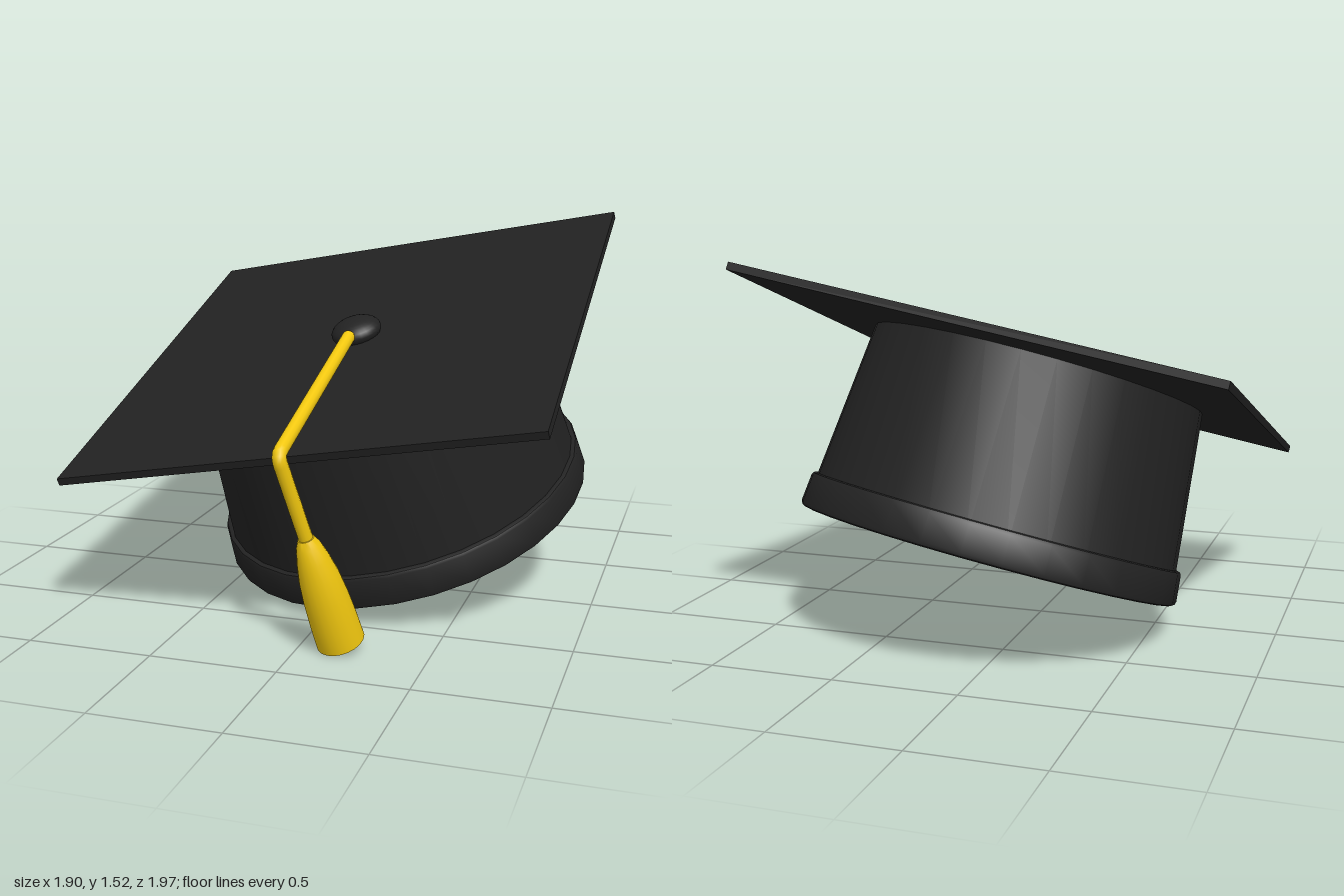
import * as THREE from 'three';
import { toCreasedNormals } from 'three/addons/utils/BufferGeometryUtils.js';

const black = new THREE.MeshStandardMaterial({ color: 0x222222, side: THREE.DoubleSide });
const gold = new THREE.MeshStandardMaterial({ color: 0xf2c80f, side: THREE.DoubleSide });

function add(parent, name, geometry, material, x = 0, y = 0, z = 0) {
  const mesh = new THREE.Mesh(geometry, material);
  mesh.name = name;
  mesh.position.set(x, y, z);
  parent.add(mesh);
  return mesh;
}

// Turned part from [radius, height] pairs, with sharp edges kept
function turned(profile, segments) {
  const points = profile.map(([r, y]) => new THREE.Vector2(r, y));
  return toCreasedNormals(new THREE.LatheGeometry(points, segments), 0.6);
}

export function createModel() {
  const model = new THREE.Group();
  model.name = 'graduationCap';

  // The cap is built level, its origin at the middle of the board's top, then tilted
  const cap = new THREE.Group();
  cap.name = 'tiltedCap';
  const xAxis = new THREE.Vector3(0.982, 0.18, 0.0445).normalize();
  const yAxis = new THREE.Vector3(0.01, -0.2975, 0.955).cross(xAxis).normalize();
  const zAxis = xAxis.clone().cross(yAxis);
  cap.quaternion.setFromRotationMatrix(new THREE.Matrix4().makeBasis(xAxis, yAxis, zAxis));
  cap.position.set(0, 1.067, -0.005);
  model.add(cap);

  // Square board and its button
  add(cap, 'board', new THREE.BoxGeometry(1.91, 0.03, 1.915), black, 0, -0.015, 0);
  add(cap, 'button', new THREE.SphereGeometry(0.105, 24, 16), black, 0, 0.02, 0).scale.y = 0.515;

  // Flared, hollow crown
  add(cap, 'crown', turned([
    [0.764, -0.74], [0.695, -0.03], [0.685, -0.03], [0.75, -0.74], [0.764, -0.74],
  ], 32), black);

  // Band around the opening, with softened edges
  add(cap, 'band', turned([
    [0.775, -0.81], [0.786, -0.805], [0.79, -0.792], [0.78, -0.685], [0.774, -0.674], [0.762, -0.67],
    [0.745, -0.67], [0.752, -0.79], [0.757, -0.805], [0.766, -0.81], [0.775, -0.81],
  ], 32), black);

  // Cord across the board and over its front edge
  const v = (y, z) => new THREE.Vector3(0, y, z);
  const path = new THREE.CurvePath();
  path.add(new THREE.LineCurve3(v(0.04, 0.1), v(0.035, 0.965)));
  path.add(new THREE.QuadraticBezierCurve3(v(0.035, 0.965), v(0.035, 1.005), v(-0.005, 1.005)));
  path.add(new THREE.LineCurve3(v(-0.005, 1.005), v(-0.34, 1.005)));
  add(cap, 'cord', new THREE.TubeGeometry(path, 80, 0.027, 12), gold);
  add(cap, 'cordEnd', new THREE.SphereGeometry(0.027, 12, 8), gold, 0, 0.04, 0.1);

  // Tassel
  add(cap, 'tassel', turned([
    [0, -0.785], [0.093, -0.785], [0.091, -0.68], [0.086, -0.58], [0.077, -0.49],
    [0.062, -0.41], [0.046, -0.35], [0.031, -0.318], [0, -0.318],
  ], 20), gold, 0, 0, 1.005);

  return model;
}
